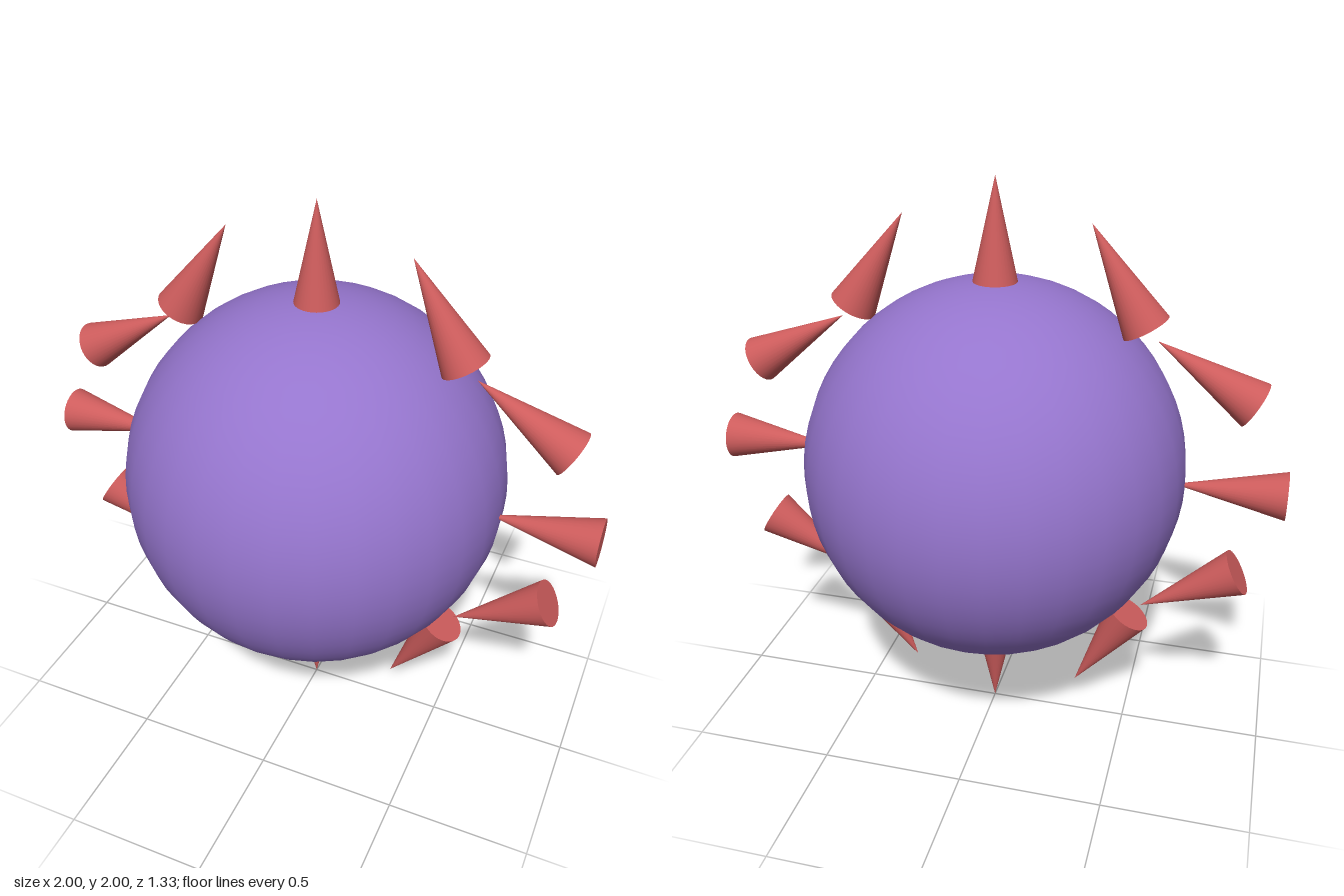
import * as THREE from 'three';

export function createModel() {
  const model = new THREE.Group();
  const purple = new THREE.MeshStandardMaterial({ color: 0x9575cd });
  purple.name = 'purple';
  const red = new THREE.MeshStandardMaterial({ color: 0xcd5c5c });
  red.name = 'red';

  const centreY = 1;

  // Round body
  const body = new THREE.Mesh(new THREE.SphereGeometry(0.664, 32, 32), purple);
  body.name = 'body';
  body.position.y = centreY;
  model.add(body);

  // Ring of twelve spikes: tips point outward at top and bottom, inward at the sides
  const ringRadius = 0.8125;
  const spikeGeometry = new THREE.ConeGeometry(0.082, 0.375, 32);
  const spikes = new THREE.Group();
  spikes.name = 'spikes';
  for (let i = 0; i < 12; i++) {
    const angle = (i * Math.PI) / 6;
    const spike = new THREE.Mesh(spikeGeometry, red);
    spike.name = `spike${i + 1}`;
    spike.position.set(ringRadius * Math.cos(angle), centreY + ringRadius * Math.sin(angle), 0);
    spike.rotation.z = Math.PI / 2 - angle;
    spikes.add(spike);
  }
  model.add(spikes);

  return model;
}
